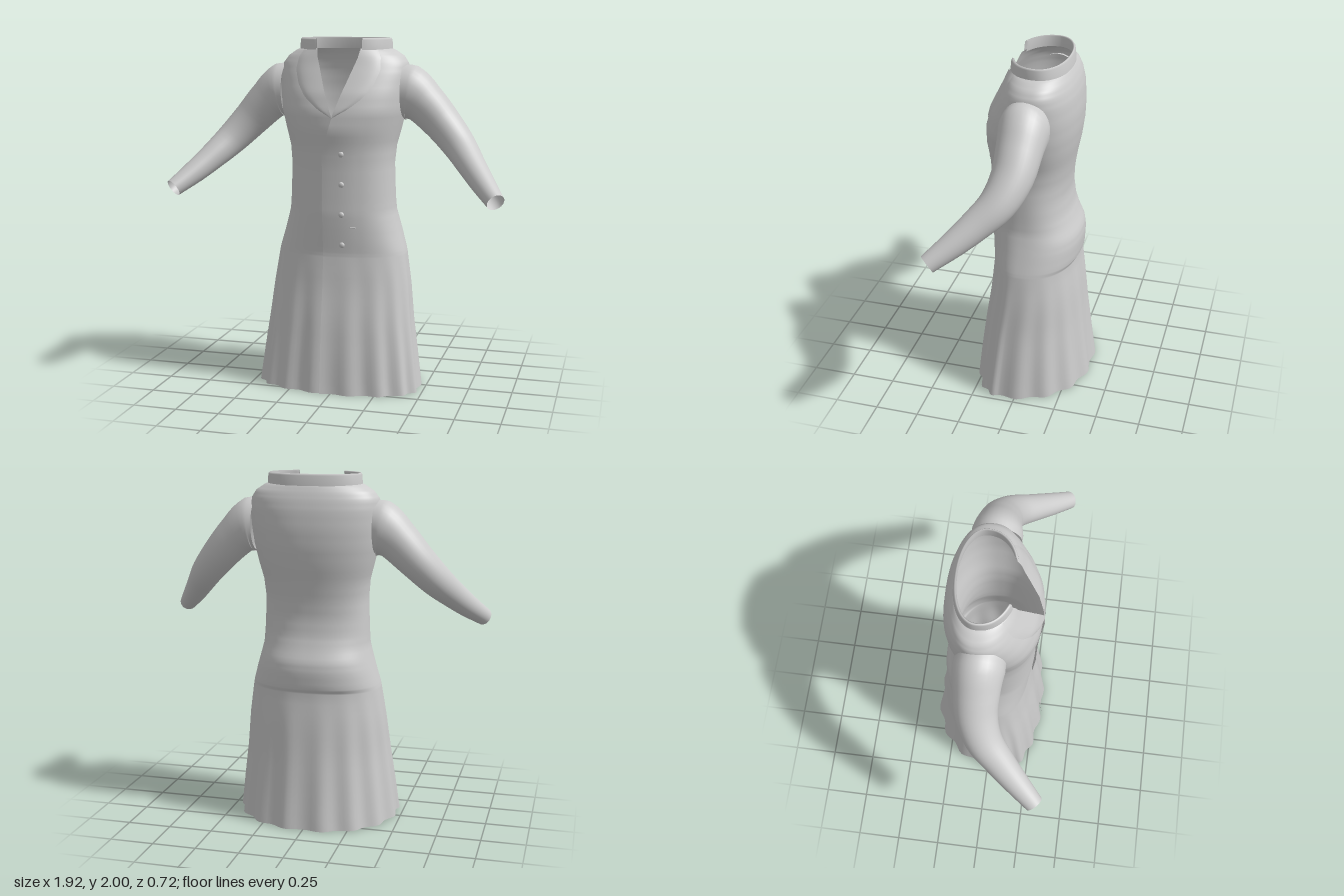
import * as THREE from 'three';

const cloth = new THREE.MeshStandardMaterial({ color: 0xcccccc, side: THREE.DoubleSide });
cloth.name = 'grey cloth';

// Coat cross-sections: [y, half width, front z, back z, z of widest point, roundness]
const SECTIONS = [
  [0, 0.468, 0.297, -0.36, 0.09, 2.2],
  [0.2, 0.445, 0.278, -0.335, 0.07, 2.2],
  [0.4, 0.42, 0.255, -0.312, 0.05, 2.2],
  [0.6, 0.4, 0.225, -0.292, 0.02, 2.25],
  [0.78, 0.375, 0.207, -0.268, 0, 2.3],
  [0.81, 0.368, 0.207, -0.284, 0, 2.3],
  [0.9, 0.342, 0.215, -0.29, -0.01, 2.3],
  [0.96, 0.325, 0.22, -0.283, -0.01, 2.3],
  [1.03, 0.307, 0.225, -0.252, -0.01, 2.3],
  [1.1, 0.302, 0.225, -0.228, -0.01, 2.3],
  [1.2, 0.298, 0.226, -0.215, -0.01, 2.3],
  [1.3, 0.295, 0.228, -0.22, -0.01, 2.3],
  [1.4, 0.304, 0.235, -0.235, -0.02, 2.3],
  [1.5, 0.33, 0.25, -0.255, -0.03, 2.3],
  [1.6, 0.354, 0.25, -0.268, -0.03, 2.3],
  [1.7, 0.366, 0.22, -0.271, -0.04, 2.3],
  [1.8, 0.37, 0.17, -0.262, -0.05, 2.3],
  [1.86, 0.362, 0.14, -0.248, -0.06, 2.25],
  [1.9, 0.335, 0.125, -0.233, -0.07, 2.2],
  [1.93, 0.29, 0.115, -0.218, -0.07, 2.15],
  [1.945, 0.258, 0.11, -0.208, -0.07, 2.1],
];
// Edges of the front opening: [y, left panel x, right panel x]
const EDGES = [
  [0, -0.06, 0.04], [1.36, -0.06, 0.04], [1.5, -0.02, 0.02], [1.57, 0, 0],
  [1.75, 0.065, -0.065], [1.9, 0.118, -0.118], [2, 0.132, -0.132],
];
const WAVES = 16;

function lookUp(table, y) {
  let i = 0;
  while (i < table.length - 2 && y > table[i + 1][0]) i++;
  const a = table[i], b = table[i + 1];
  const t = THREE.MathUtils.clamp((y - a[0]) / (b[0] - a[0]), 0, 1);
  return a.map((v, k) => v + (b[k] - v) * t);
}

// Point on a cross-section; angle 0 is the front, PI/2 the +x side
function sectionPoint([, w, zf, zb, zc, n], y, angle) {
  const s = Math.sin(angle), c = Math.cos(angle), e = 2 / n;
  const x = w * Math.sign(s) * Math.abs(s) ** e;
  const z = zc + (c > 0 ? zf - zc : zc - zb) * Math.sign(c) * Math.abs(c) ** e;
  return new THREE.Vector3(x, y, z);
}
function angleAt([, w, , , , n], x) {
  return Math.asin(Math.sign(x) * Math.min(1, Math.abs(x) / w) ** (n / 2));
}
function frontZ(x, y) {
  const sec = lookUp(SECTIONS, y);
  return sectionPoint(sec, y, angleAt(sec, x)).z;
}

// Smooth sheet through a grid of points; optionally closed around each row
function sheet(name, rows, cols, point, wrap = false, flip = false) {
  const pos = [], idx = [];
  for (let i = 0; i <= rows; i++) {
    for (let j = 0; j < (wrap ? cols : cols + 1); j++) {
      const p = point(i / rows, j / cols);
      pos.push(p.x, p.y, p.z);
    }
  }
  const stride = wrap ? cols : cols + 1;
  for (let i = 0; i < rows; i++) {
    for (let j = 0; j < cols; j++) {
      const k = (j + 1) % stride;
      const a = i * stride + j, b = i * stride + k, c = a + stride, d = b + stride;
      if (flip) idx.push(a, c, b, b, c, d);
      else idx.push(a, b, c, b, d, c);
    }
  }
  const geo = new THREE.BufferGeometry();
  geo.setAttribute('position', new THREE.Float32BufferAttribute(pos, 3));
  geo.setIndex(idx);
  geo.computeVertexNormals();
  const mesh = new THREE.Mesh(geo, cloth);
  mesh.name = name;
  return mesh;
}

// Body and skirt: one wrapped panel, the left front lying over the right
function coatBody() {
  const ys = [];
  for (let i = 0; i < SECTIONS.length - 1; i++) {
    for (let k = 0; k < 3; k++) ys.push(THREE.MathUtils.lerp(SECTIONS[i][0], SECTIONS[i + 1][0], k / 3));
  }
  ys.push(1.36, 1.57, 1.945);
  ys.sort((a, b) => a - b);
  const rows = ys.length - 1;
  return sheet('coatBody', rows, 128, (u, v) => {
    const y = ys[Math.round(u * rows)];
    const sec = lookUp(SECTIONS, y);
    const [, left, right] = lookUp(EDGES, y);
    const start = angleAt(sec, left), end = Math.PI * 2 + angleAt(sec, right);
    const angle = start + (end - start) * v;
    const p = sectionPoint(sec, y, angle);
    // skirt folds grow towards the hem
    const fold = 0.011 * Math.max(0, 1 - y / 0.78) * -Math.cos(WAVES * angle);
    p.x += Math.sin(angle) * fold;
    p.z += Math.cos(angle) * fold;
    // overlapping front edge
    if (y < 1.6 && v < 0.25) {
      const t = Math.max(0, 1 - (p.x - left) / 0.2);
      p.z += 0.012 * t * Math.min(1, (1.6 - y) / 0.1);
    }
    return p;
  });
}

// Standing collar: a thin band with inside, top and outside
function collar() {
  const ring = [[0, 1.935], [0, 1.99], [0.006, 2], [0.014, 1.995], [0.014, 1.935]];
  return sheet('collar', 4, 64, (u, v) => {
    const [inset, h] = ring[Math.round(u * 4)];
    const lean = (h - 1.935) * 0.12;
    const sec = [0, 0.268 - inset - lean * 0.5, 0.118 - inset - lean, -0.216 + inset + lean, -0.07, 2.15];
    const a = angleAt(sec, 0.132);
    return sectionPoint(sec, h, a + (Math.PI * 2 - 2 * a) * v);
  });
}

// Lapel: thin facing between the neckline and a curved outer edge
const LAPEL = [[1.57, 0.002], [1.62, 0.09], [1.68, 0.165], [1.75, 0.215], [1.83, 0.243], [1.9, 0.235], [1.935, 0.215]];
function lapel(name, s) {
  return sheet(name, 18, 8, (u, v) => {
    const y = 1.57 + 0.365 * u;
    const inner = lookUp(EDGES, y)[1], outer = lookUp(LAPEL, y)[1];
    const x = inner + (outer - inner) * v;
    return new THREE.Vector3(s * x, y, frontZ(x, y) + 0.007 * (1 - v ** 6) + 0.001);
  }, false, s < 0);
}

// Sleeve rings: [x, y, z, half height, half depth]
const SLEEVE = [
  [0.345, 1.705, -0.042, 0.15, 0.135],
  [0.385, 1.695, -0.045, 0.155, 0.138],
  [0.46, 1.638, -0.045, 0.122, 0.126],
  [0.57, 1.525, -0.035, 0.105, 0.114],
  [0.67, 1.415, 0.015, 0.092, 0.1],
  [0.75, 1.325, 0.105, 0.078, 0.085],
  [0.83, 1.24, 0.205, 0.066, 0.07],
  [0.918, 1.155, 0.318, 0.05, 0.052],
];
function sleeve(name, s) {
  const path = new THREE.CatmullRomCurve3(SLEEVE.map((r) => new THREE.Vector3(r[0], r[1], r[2])));
  return sheet(name, 28, 32, (u, v) => {
    const c = path.getPoint(u);
    const k = u * (SLEEVE.length - 1), i = Math.min(SLEEVE.length - 2, Math.floor(k));
    const rh = THREE.MathUtils.lerp(SLEEVE[i][3], SLEEVE[i + 1][3], k - i);
    const rd = THREE.MathUtils.lerp(SLEEVE[i][4], SLEEVE[i + 1][4], k - i);
    // the armhole end is cut upright, then rings turn to follow the arm
    const dir = new THREE.Vector3(1, 0, 0).lerp(path.getTangent(u), Math.min(1, u * 3.5)).normalize();
    const depth = new THREE.Vector3(0, 0, 1).addScaledVector(dir, -dir.z).normalize();
    const up = new THREE.Vector3().crossVectors(depth, dir);
    const a = v * Math.PI * 2;
    c.addScaledVector(up, rh * Math.cos(a)).addScaledVector(depth, rd * Math.sin(a));
    c.x *= s;
    return c;
  }, true, s < 0);
}

export function createModel() {
  const coat = new THREE.Group();
  coat.name = 'longCoat';
  coat.add(coatBody(), collar());
  for (const [side, s] of [['left', 1], ['right', -1]]) {
    coat.add(lapel(side + 'Lapel', s), sleeve(side + 'Sleeve', s));
  }

  // Row of front buttons
  for (const y of [1.37, 1.2, 1.03, 0.855]) {
    const button = new THREE.Mesh(new THREE.SphereGeometry(0.016, 16, 10), cloth);
    button.scale.z = 0.6;
    button.position.set(0.05, y, frontZ(0.05, y) + 0.008);
    button.name = 'button';
    coat.add(button);
  }

  // Pocket welt
  const welt = new THREE.Mesh(new THREE.BoxGeometry(0.04, 0.005, 0.008), cloth);
  welt.position.set(0.11, 0.955, frontZ(0.11, 0.955) + 0.002);
  welt.name = 'pocketWelt';
  coat.add(welt);
  return coat;
}
